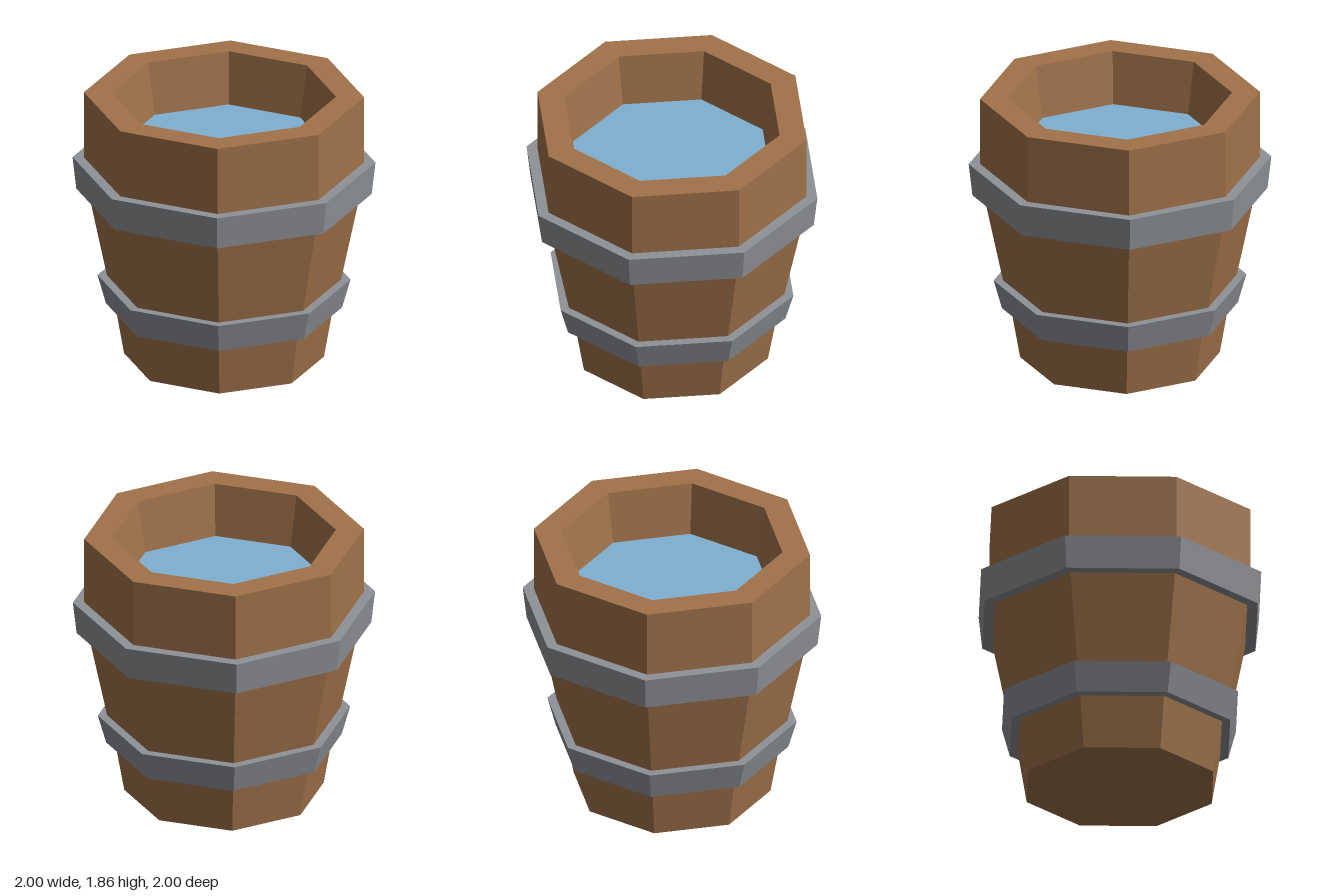
import * as THREE from 'three';

const SIDES = 8;

const paint = (color) => new THREE.MeshStandardMaterial({ color, flatShading: true });

// Revolves a [radius, height] profile into an eight-sided part with corners on the axes
function turned(name, profile, material) {
  const points = profile.map(([r, y]) => new THREE.Vector2(r, y));
  const mesh = new THREE.Mesh(new THREE.LatheGeometry(points, SIDES), material);
  mesh.name = name;
  return mesh;
}

export function createModel() {
  const group = new THREE.Group();
  group.name = 'waterBarrel';
  const wood = paint(0xa0724a);
  const iron = paint(0x8e9196);
  const water = paint(0x7fb0d0);

  // Wooden tub: base, flaring wall, thick rim and inner wall down to the water
  group.add(turned('tub', [
    [0, 0], [0.66, 0], [0.72, 0.35], [0.773, 0.555], [0.9, 1.17],
    [0.925, 1.39], [0.925, 1.86], [0.74, 1.86], [0.68, 1.5],
  ], wood));

  // Iron hoops: [name, bottom y, bottom radius, top y, top radius]
  const hoops = [
    ['lowerHoop', 0.355, 0.78, 0.555, 0.835],
    ['upperHoop', 1.17, 0.975, 1.395, 1.0],
  ];
  for (const [name, y0, r0, y1, r1] of hoops) {
    group.add(turned(name, [[r0 - 0.09, y0], [r0, y0], [r1, y1], [r1 - 0.09, y1]], iron));
  }

  // Water surface
  const surface = new THREE.Mesh(new THREE.CircleGeometry(0.68, SIDES), water);
  surface.name = 'waterSurface';
  surface.rotation.x = -Math.PI / 2;
  surface.position.y = 1.505;
  group.add(surface);

  return group;
}
